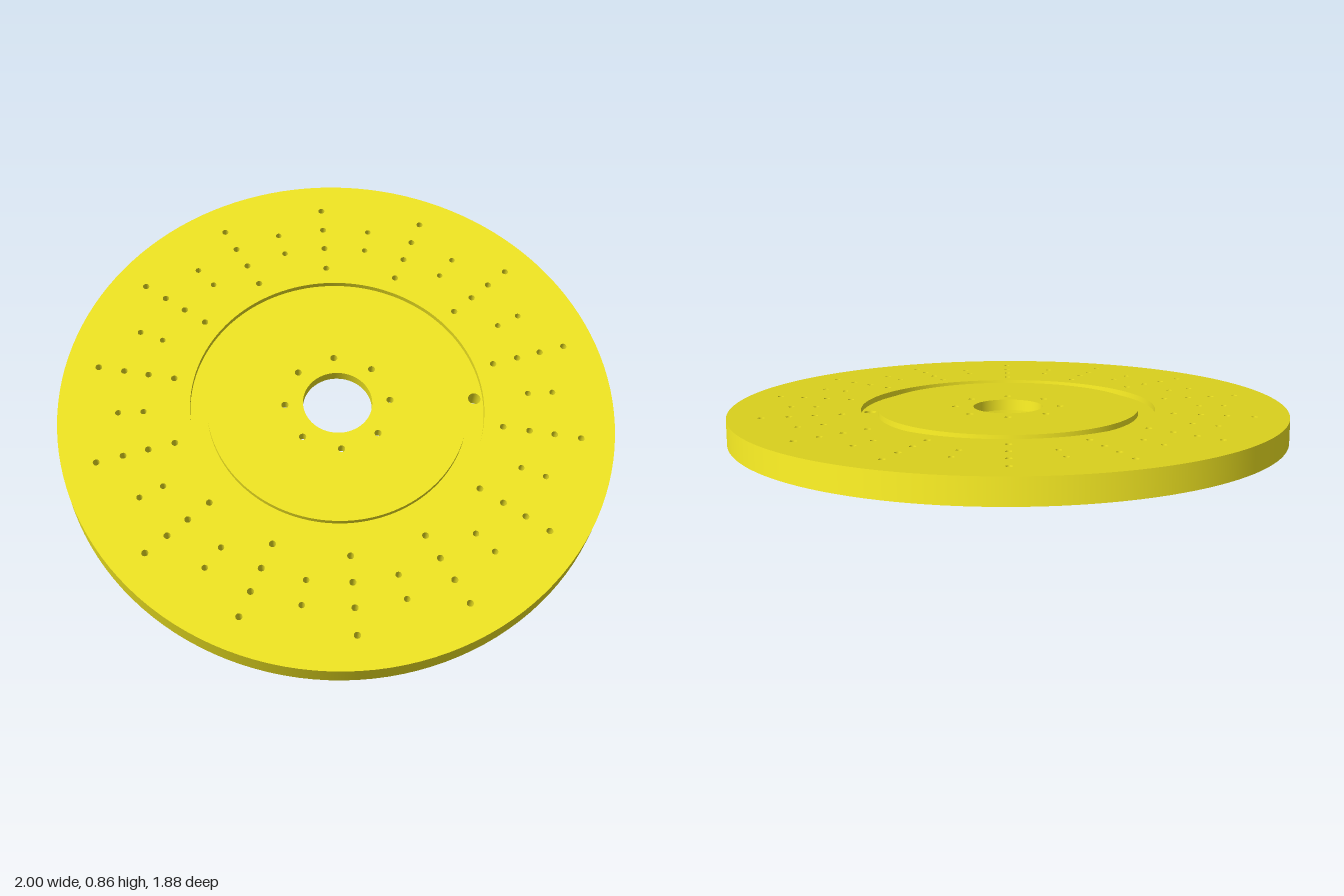
import * as THREE from 'three';
import { mergeGeometries } from 'three/addons/utils/BufferGeometryUtils.js';

const TILT = THREE.MathUtils.degToRad(23);
const BOTTOM = -0.045, TOP = 0.045;      // disc faces
const STEP = 0.005;                      // depth of recess and counterbores
const GROOVE = 0.025;                    // groove floor
const BORE = 0.125, RECESS = 0.272, GROOVE_IN = 0.47, GROOVE_OUT = 0.53;

const segments = r => (r < 0.05 ? 16 : 128);

// Circle as a list of points
function circle({ x = 0, z = 0, r }) {
  const n = segments(r);
  return Array.from({ length: n }, (_, i) => {
    const a = (i / n) * Math.PI * 2;
    return new THREE.Vector2(x + r * Math.cos(a), z + r * Math.sin(a));
  });
}

// Flat round face with holes, looking up or down
function face(y, outer, holes, up) {
  const shape = new THREE.Shape(circle(outer));
  // negate z when facing up so that holes land at the same place on both sides
  const s = up ? -1 : 1;
  holes.forEach(h => shape.holes.push(new THREE.Path(circle({ ...h, z: s * (h.z || 0) }))));
  if (outer.z) shape.setFromPoints(circle({ ...outer, z: s * outer.z }));
  return new THREE.ShapeGeometry(shape).rotateX(s * Math.PI / 2).translate(0, y, 0);
}

// Open cylindrical wall
function wall({ x = 0, z = 0, r }, y0, y1) {
  return new THREE.CylinderGeometry(r, r, y1 - y0, segments(r), 1, true)
    .translate(x, (y0 + y1) / 2, z);
}

// Small holes at given radii along a spoke
function spoke(angle, radii, r) {
  return radii.map(d => ({ x: d * Math.sin(angle), z: d * Math.cos(angle), r }));
}

export function createModel() {
  const model = new THREE.Group();
  const disc = new THREE.Group();
  disc.name = 'disc';
  disc.rotation.x = TILT;
  disc.position.y = Math.sin(TILT) - BOTTOM * Math.cos(TILT);
  model.add(disc);

  const material = new THREE.MeshStandardMaterial({ color: 0xede221, side: THREE.DoubleSide });
  const add = (name, ...geometries) => {
    const mesh = new THREE.Mesh(mergeGeometries(geometries), material);
    mesh.name = name;
    disc.add(mesh);
  };

  // Hole pattern: 28 spokes, alternating four counterbored and two plain holes
  const bored = [], plain = [], hub = [];
  for (let i = 0; i < 28; i++) {
    const a = (i / 28) * Math.PI * 2;
    if (i % 2 === 0) bored.push(...spoke(a, [0.6, 0.695, 0.785, 0.88], 0.012));
    else plain.push(...spoke(a, [0.695, 0.785], 0.011));
  }
  for (let i = 0; i < 8; i++) hub.push(...spoke((i / 8) * Math.PI * 2, [0.19], 0.013));
  const counterbores = bored.map(h => ({ ...h, r: 0.018 }));
  const pin = { x: 0.5, z: 0, r: 0.023 };
  const bore = { r: BORE }, recess = { r: RECESS };
  const grooveIn = { r: GROOVE_IN }, grooveOut = { r: GROOVE_OUT };

  // Outer body
  add('rim', wall({ r: 1 }, BOTTOM, TOP));
  add('topOuterFace', face(TOP, { r: 1 }, [grooveOut, ...bored, ...plain], true));
  add('topInnerFace', face(TOP, grooveIn, [bore, ...hub], true));
  add('bottomFace', face(BOTTOM, { r: 1 }, [recess, pin, ...counterbores, ...plain], false));

  // Ring groove on top
  add('ringGroove',
    face(GROOVE, grooveOut, [grooveIn, pin], true),
    wall(grooveIn, GROOVE, TOP), wall(grooveOut, GROOVE, TOP));
  add('pinHole', wall(pin, BOTTOM, GROOVE));

  // Recess underneath and central bore
  add('hubRecess', face(STEP, recess, [bore, ...hub], false), wall(recess, BOTTOM, STEP));
  add('centreBore', wall(bore, STEP, TOP));
  add('hubHoles', ...hub.map(h => wall(h, STEP, TOP)));

  // Small holes through the outer ring
  add('plainHoles', ...plain.map(h => wall(h, BOTTOM, TOP)));
  add('counterboredHoles', ...bored.flatMap((h, i) => [
    wall(h, STEP, TOP),
    wall(counterbores[i], BOTTOM, STEP),
    new THREE.RingGeometry(h.r, counterbores[i].r, 16).rotateX(Math.PI / 2).translate(h.x, STEP, h.z),
  ]));

  return model;
}
